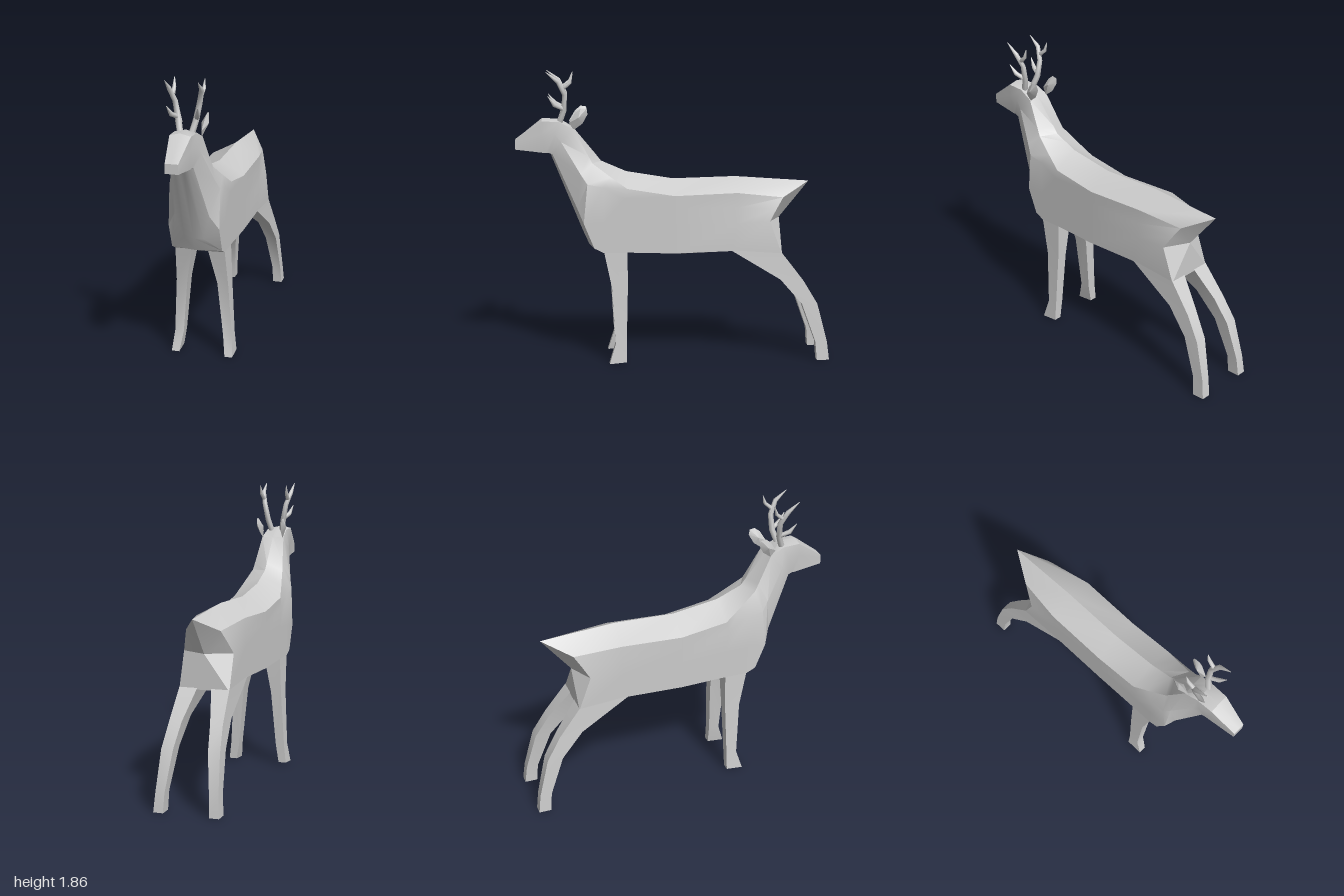
import * as THREE from 'three';
import { toCreasedNormals } from 'three/addons/utils/BufferGeometryUtils.js';
import { ConvexGeometry } from 'three/addons/geometries/ConvexGeometry.js';

const material = new THREE.MeshStandardMaterial({ color: 0xcccccc });

function makeMesh(name, geometry, crease = 0.55) {
  const mesh = new THREE.Mesh(toCreasedNormals(geometry, crease), material);
  mesh.name = name;
  return mesh;
}

// Skin closed rings of [x, y, z] points; the ends are fans around a centre point.
function loft(rings, startCentre) {
  const n = rings[0].length;
  const average = (ring) => [0, 1, 2].map((k) => ring.reduce((sum, p) => sum + p[k], 0) / n);
  const last = rings.length - 1;
  const points = [...rings.flat(), startCentre ?? average(rings[0]), average(rings[last])];
  const startId = rings.length * n;
  const faces = [];
  for (let j = 0; j < n; j++) {
    const k = (j + 1) % n;
    for (let i = 0; i < last; i++) {
      const a = i * n + j, b = i * n + k, c = b + n, d = a + n;
      faces.push([a, d, c], [a, c, b]);
    }
    faces.push([startId, j, k], [startId + 1, last * n + k, last * n + j]);
  }
  // Turn the faces outward whichever way the rings run
  const v = points.map((p) => new THREE.Vector3(...p));
  const volume = faces.reduce((s, [a, b, c]) => s + v[a].dot(v[b].clone().cross(v[c])), 0);
  const index = faces.flatMap(([a, b, c]) => (volume < 0 ? [a, c, b] : [a, b, c]));
  const geometry = new THREE.BufferGeometry();
  geometry.setAttribute('position', new THREE.Float32BufferAttribute(points.flat(), 3));
  geometry.setIndex(index);
  return geometry;
}

// Half section from ridge to underside, mirrored into a full ring
function mirrorRing(half) {
  const other = half.slice(1, -1).reverse().map(([x, y, z]) => [-x, y, z]);
  return [...half, ...other];
}

// Leg from sections [inner x, outer x, front z, front y, back z, back y]
function leg(sections, side) {
  return loft(sections.map(([xi, xo, zf, yf, zb, yb]) => [
    [side * xi, yf, zf], [side * xo, yf, zf], [side * xo, yb, zb], [side * xi, yb, zb],
  ]));
}

// Tapering branch along points [x, y, z, radius]
function branch(path, side, sides = 6) {
  const pts = path.map(([x, y, z]) => new THREE.Vector3(side * x, y, z));
  return loft(pts.map((p, i) => {
    const dir = pts[Math.min(i + 1, pts.length - 1)].clone().sub(pts[Math.max(i - 1, 0)]).normalize();
    const u = new THREE.Vector3(1, 0, 0).addScaledVector(dir, -dir.x).normalize();
    const w = dir.clone().cross(u);
    return Array.from({ length: sides }, (_, j) => {
      const t = (j / sides) * Math.PI * 2;
      return p.clone().addScaledVector(u, Math.cos(t) * path[i][3])
        .addScaledVector(w, Math.sin(t) * path[i][3]).toArray();
    });
  }));
}

// Half sections: ridge, upper edge, upper side, side, lower edge, underside
const torso = [
  [[0, 1.145, -0.88], [0.11, 1.055, -0.7], [0.135, 0.985, -0.655], [0.16, 0.91, -0.61], [0.16, 0.69, -0.69], [0, 0.69, -0.69]],
  [[0, 1.18, -0.4], [0.16, 1.095, -0.4], [0.16, 1.0, -0.4], [0.16, 0.9, -0.4], [0.16, 0.72, -0.37], [0, 0.72, -0.37]],
  [[0, 1.17, 0], [0.16, 1.08, 0], [0.16, 1.0, 0], [0.16, 0.9, 0], [0.16, 0.71, 0], [0, 0.675, -0.05]],
  [[0, 1.22, 0.3], [0.16, 1.13, 0.3], [0.16, 1.07, 0.32], [0.16, 0.92, 0.3], [0.16, 0.72, 0.28], [0, 0.69, 0.27]],
  [[0, 1.255, 0.38], [0.135, 1.2, 0.4], [0.16, 1.14, 0.45], [0.16, 0.92, 0.45], [0.16, 0.72, 0.45], [0, 0.72, 0.45]],
  [[0, 1.29, 0.46], [0.105, 1.285, 0.515], [0.16, 1.16, 0.55], [0.16, 0.91, 0.575], [0.16, 0.75, 0.51], [0, 0.75, 0.54]],
];
const neckAndHead = [
  [[0, 1.335, 0.495], [0.098, 1.33, 0.54], [0.14, 1.22, 0.59], [0.11, 1.0, 0.615], [0.06, 0.84, 0.575], [0, 0.84, 0.58]],
  [[0, 1.5, 0.63], [0.075, 1.5, 0.63], [0.09, 1.42, 0.71], [0.06, 1.34, 0.765], [0.03, 1.34, 0.775], [0, 1.34, 0.78]],
  [[0, 1.56, 0.72], [0.068, 1.545, 0.72], [0.08, 1.47, 0.75], [0.058, 1.35, 0.79], [0.03, 1.35, 0.79], [0, 1.35, 0.79]],
  [[0, 1.565, 0.83], [0.065, 1.55, 0.83], [0.065, 1.47, 0.835], [0.055, 1.348, 0.81], [0.03, 1.348, 0.81], [0, 1.348, 0.81]],
  [[0, 1.43, 1], [0.04, 1.43, 1], [0.04, 1.41, 1], [0.04, 1.37, 1], [0.02, 1.37, 1], [0, 1.37, 1]],
];

const foreleg = [
  [0.05, 0.159, 0.45, 0.73, 0.3, 0.73],
  [0.098, 0.168, 0.4, 0.49, 0.3, 0.49],
  [0.13, 0.188, 0.38, 0.13, 0.31, 0.13],
  [0.15, 0.2, 0.42, 0, 0.31, 0.01],
];
const hindLeg = [
  [0.045, 0.16, -0.36, 0.725, -0.69, 0.7],
  [0.09, 0.17, -0.68, 0.53, -0.83, 0.52],
  [0.11, 0.185, -0.82, 0.37, -0.92, 0.37],
  [0.14, 0.198, -0.91, 0.12, -0.985, 0.12],
  [0.145, 0.207, -0.92, 0, -1, 0],
];

// Antler branches: main beam, front tine, rear tine
const antler = {
  antlerBeam: [[0.035, 1.535, 0.72, 0.02], [0.055, 1.62, 0.69, 0.019], [0.075, 1.72, 0.685, 0.017], [0.098, 1.8, 0.725, 0.015], [0.1, 1.86, 0.8, 0.002]],
  antlerFrontTine: [[0.058, 1.625, 0.69, 0.014], [0.08, 1.655, 0.75, 0.015], [0.095, 1.71, 0.79, 0.002]],
  antlerRearTine: [[0.085, 1.76, 0.69, 0.014], [0.09, 1.795, 0.65, 0.012], [0.092, 1.85, 0.635, 0.002]],
};

// Ear outline in [z, y], thickened in the middle
const earOutline = [[0.66, 1.54], [0.62, 1.605], [0.585, 1.633], [0.55, 1.628], [0.542, 1.595], [0.575, 1.535], [0.63, 1.495]];
function ear(side) {
  const rim = earOutline.map(([z, y]) => new THREE.Vector3(side * (0.07 + (y - 1.5) * 0.15), y, z));
  const middle = [0.058, 0.104].map((x) => new THREE.Vector3(side * x, 1.575, 0.6));
  return new ConvexGeometry([...rim, ...middle]);
}

export function createModel() {
  const model = new THREE.Group();
  model.name = 'deer';
  model.add(makeMesh('body', loft([...torso, ...neckAndHead].map(mirrorRing), [0, 0.91, -0.69])));

  for (const [label, side] of [['left', 1], ['right', -1]]) {
    model.add(makeMesh(`${label}Foreleg`, leg(foreleg, side), 0.4));
    model.add(makeMesh(`${label}HindLeg`, leg(hindLeg, side), 0.4));
    model.add(makeMesh(`${label}Ear`, ear(side), 0.4));
    const antlerGroup = new THREE.Group();
    antlerGroup.name = `${label}Antler`;
    for (const [name, path] of Object.entries(antler)) {
      antlerGroup.add(makeMesh(name, branch(path, side), 1.2));
    }
    model.add(antlerGroup);
  }
  return model;
}
